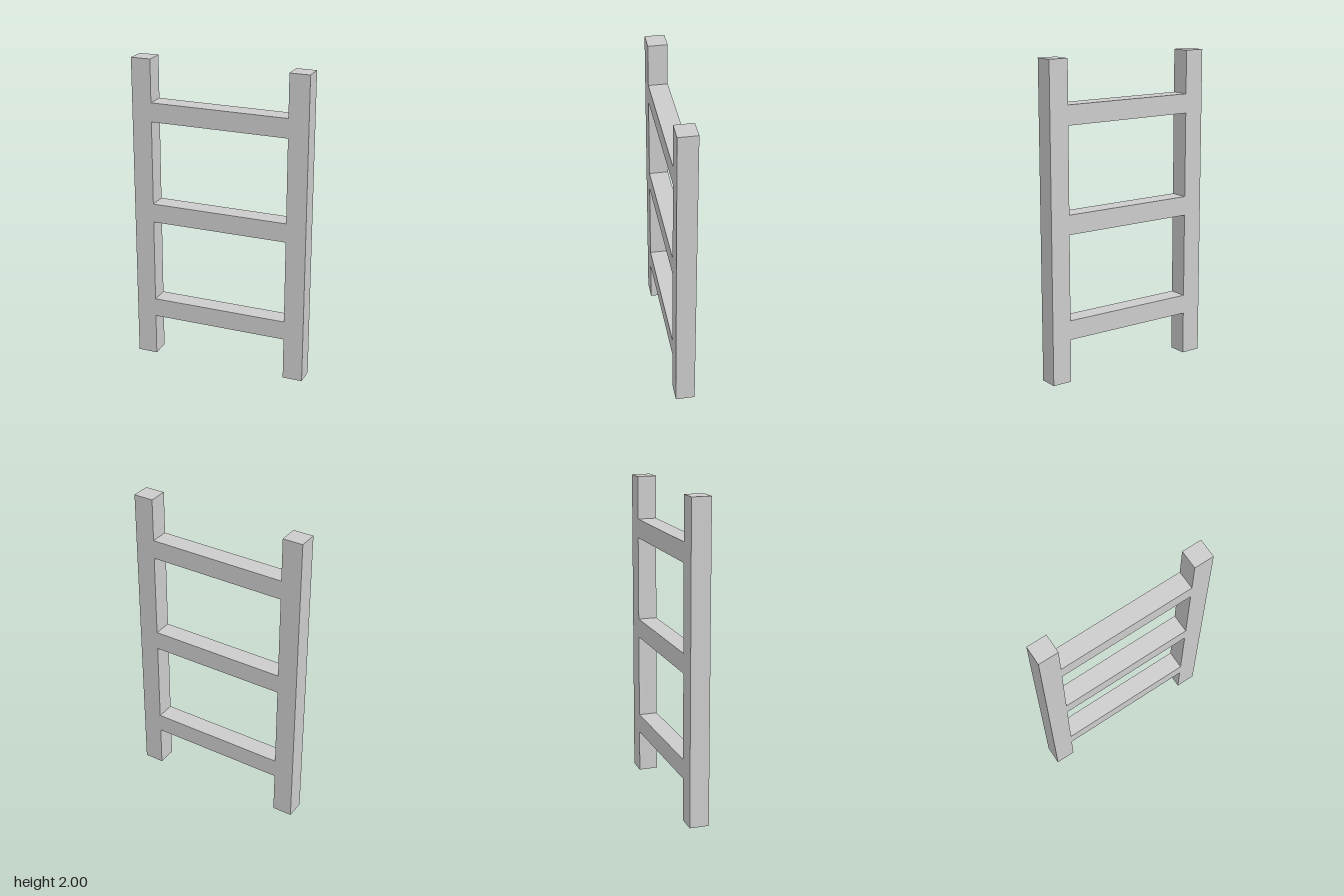
import * as THREE from 'three';

const HEIGHT = 2, DEPTH = 0.122;
const OUTER = 0.574, INNER = 0.446; // x extents of each side rail
const RUNG_HEIGHT = 0.123, RUNG_SPACING = 0.665;

export function createModel() {
  const ladder = new THREE.Group();
  ladder.name = 'ladder';
  const material = new THREE.MeshStandardMaterial({ color: 0xcccccc });

  const addBeam = (name, width, height, x, y) => {
    const beam = new THREE.Mesh(new THREE.BoxGeometry(width, height, DEPTH), material);
    beam.name = name;
    beam.position.set(x, y, 0);
    ladder.add(beam);
  };

  // Upright side rails
  for (const [name, side] of [['leftRail', 1], ['rightRail', -1]]) {
    addBeam(name, OUTER - INNER, HEIGHT, side * (OUTER + INNER) / 2, HEIGHT / 2);
  }

  // Rungs fitted flush between the rails
  ['lowerRung', 'middleRung', 'upperRung'].forEach((name, i) => {
    addBeam(name, INNER * 2, RUNG_HEIGHT, 0, HEIGHT / 2 + (i - 1) * RUNG_SPACING);
  });

  return ladder;
}
